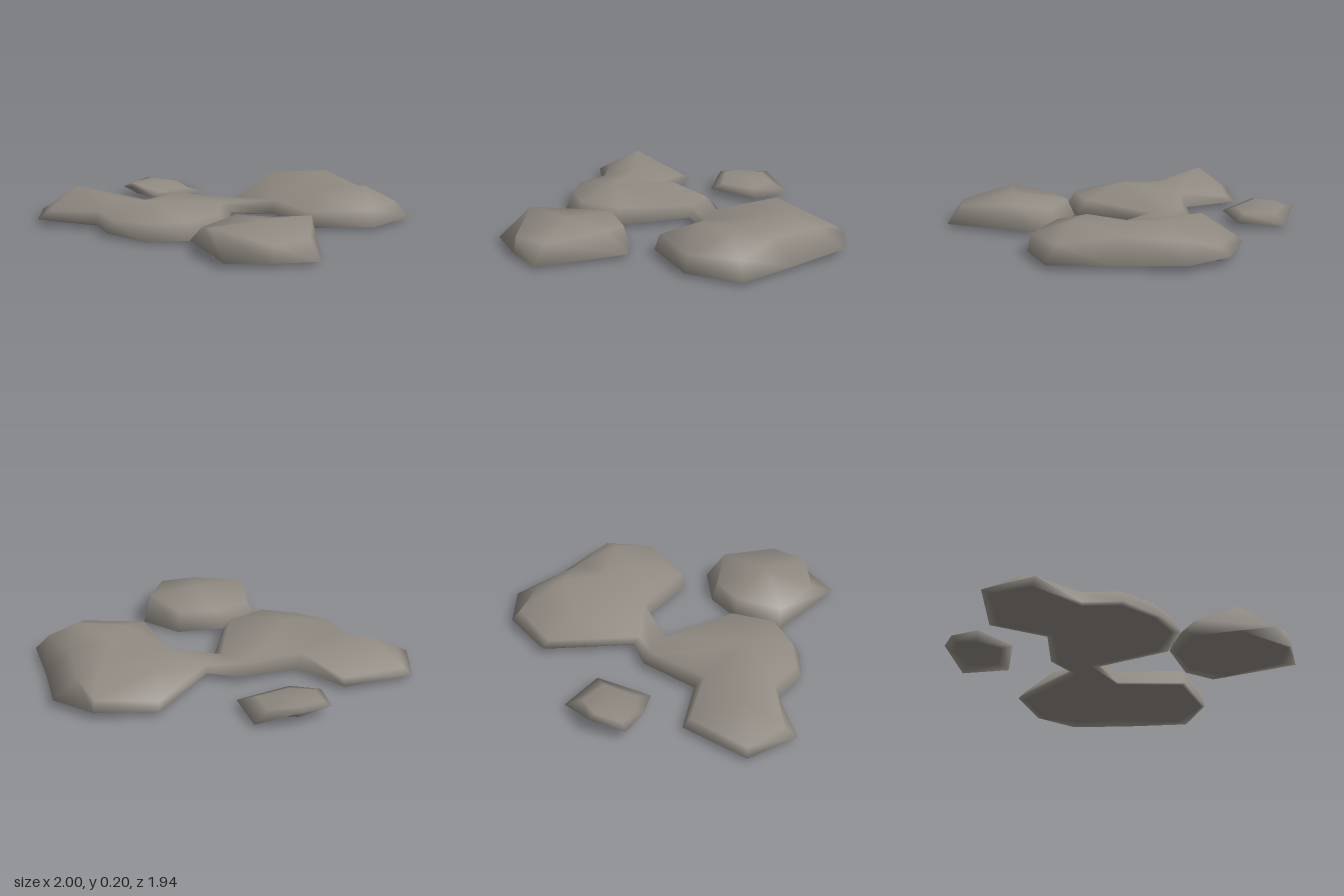
import * as THREE from 'three';

const stone = new THREE.MeshStandardMaterial({ color: 0x908a82 });
stone.name = 'warm grey stone';

// Closed smooth stone: a rim, a crown ring above it, fans that dome the top, and the
// same fans laid flat at baseY as the underside. Rings run clockwise seen from above.
// Each fan is [centre, ...ring]; its indices count through the crown, then the summits.
function rock(name, baseY, rim, crown, summits, fans) {
  const n = rim.length;
  const top = [...crown, ...summits];
  const under = top.map(([x, , z]) => [x, baseY, z]);
  const points = [...rim, ...top, ...under];
  const m = n + top.length;
  const index = [];
  for (let i = 0; i < n; i++) {
    const j = (i + 1) % n;
    index.push(i, n + j, j, i, n + i, n + j);
    index.push(i, j, m + j, i, m + j, m + i);
  }
  for (const [centre, ...ring] of fans) {
    for (let k = 0; k + 1 < ring.length; k++) {
      index.push(n + centre, n + ring[k + 1], n + ring[k]);
      index.push(m + centre, m + ring[k], m + ring[k + 1]);
    }
  }
  const geometry = new THREE.BufferGeometry();
  geometry.setAttribute('position', new THREE.Float32BufferAttribute(points.flat(), 3));
  geometry.setIndex(index);
  geometry.computeVertexNormals();
  const mesh = new THREE.Mesh(geometry, stone);
  mesh.name = name;
  return mesh;
}

export function createModel() {
  const group = new THREE.Group();
  group.name = 'flatRocks';

  // Large joined rock: left slab, middle slab, narrow neck and two right slabs
  group.add(rock('joinedRocks', 0.02,
    [
      [-1, 0.04, -0.38], [-0.89, 0.03, -0.66], [-0.49, 0.03, -0.67], [-0.34, 0.03, -0.38],
      [0, 0.04, -0.39], [0.15, 0.04, -0.29], [0.52, 0.04, -0.63], [0.84, 0.04, -0.54],
      [1, 0.04, -0.33], [0.96, 0.025, 0.02], [0.94, 0.025, 0.37], [0.64, 0.02, 0.48],
      [0.29, 0.025, 0.36], [0.27, 0.025, -0.03], [0.06, 0.03, -0.13], [-0.14, 0.025, 0.26],
      [-0.39, 0.02, 0.33], [-0.6, 0.01, 0.23], [-0.74, 0.03, 0.04], [-0.74, 0.03, -0.17],
    ],
    [
      [-0.93, 0.08, -0.4], [-0.86, 0.06, -0.62], [-0.5, 0.06, -0.62], [-0.38, 0.1, -0.34],
      [-0.02, 0.09, -0.34], [0.14, 0.07, -0.25], [0.51, 0.075, -0.59], [0.82, 0.085, -0.49],
      [0.86, 0.13, -0.3], [0.82, 0.14, 0.01], [0.87, 0.115, 0.32], [0.64, 0.115, 0.46],
      [0.31, 0.11, 0.34], [0.29, 0.1, -0.03], [0.02, 0.08, -0.17], [-0.16, 0.11, 0.2],
      [-0.39, 0.11, 0.28], [-0.57, 0.1, 0.19], [-0.71, 0.1, 0.03], [-0.71, 0.1, -0.17],
    ],
    [
      [-0.74, 0.19, -0.47], [-0.56, 0.14, -0.26], // 20 left summit, 21 valley
      [-0.2, 0.145, -0.27], [-0.42, 0.165, -0.02], // 22 middle ridge, 23 middle summit
      [0.45, 0.175, -0.42], [0.72, 0.2, -0.23], // 24 back ridge, 25 back summit
      [0.6, 0.165, 0], [0.72, 0.2, 0.24], // 26 valley, 27 front summit
      [0.45, 0.17, 0.18], // 28 front ridge
    ],
    [
      [20, 19, 0, 1, 2, 3, 21, 19],
      [22, 3, 4, 23],
      [23, 4, 14, 15, 16, 17, 18, 19, 21, 3, 22],
      [4, 5, 13, 14],
      [24, 13, 5, 6, 7, 25, 13],
      [25, 7, 8, 9, 26, 13],
      [28, 13, 26, 27, 11, 12, 13],
      [27, 26, 9, 10, 11],
    ]));

  // Separate slab at the front
  group.add(rock('frontRock', 0.02,
    [
      [-0.39, 0.025, 0.34], [-0.14, 0.03, 0.27], [0.1, 0.005, 0.36], [0.26, 0.03, 0.52],
      [0.05, 0.02, 0.97], [-0.18, 0.025, 0.93], [-0.42, 0.03, 0.84],
    ],
    [
      [-0.35, 0.11, 0.41], [-0.11, 0.13, 0.31], [0.08, 0.115, 0.39], [0.19, 0.16, 0.6],
      [0.03, 0.12, 0.89], [-0.18, 0.11, 0.91], [-0.4, 0.16, 0.64],
    ],
    [[-0.1, 0.168, 0.62]],
    [[7, 0, 1, 2, 3, 4, 5, 6, 0]]));

  // Small stone at the back, tilted up at its far edge
  group.add(rock('smallRock', 0.04,
    [
      [-0.31, 0.06, -0.9], [-0.12, 0.09, -0.97], [0.11, 0.025, -0.9],
      [0.11, 0.04, -0.64], [-0.21, 0.04, -0.58], [-0.31, 0.09, -0.76],
    ],
    [
      [-0.27, 0.085, -0.88], [-0.12, 0.096, -0.92], [0.02, 0.075, -0.86],
      [0.02, 0.07, -0.69], [-0.18, 0.065, -0.65], [-0.27, 0.096, -0.77],
    ],
    [[-0.13, 0.098, -0.8]],
    [[6, 0, 1, 2, 3, 4, 5, 0]]));

  return group;
}
